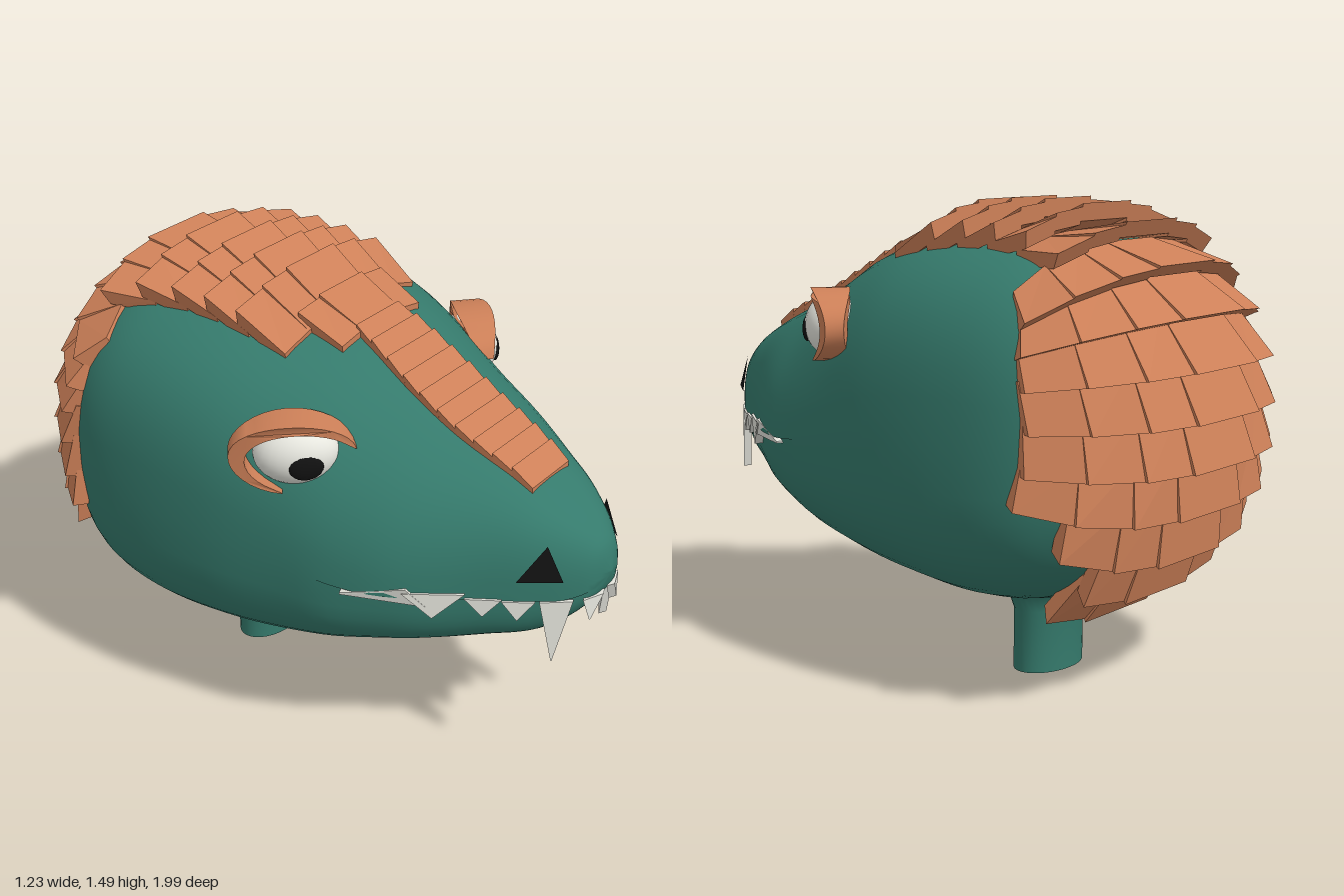
import * as THREE from 'three';
import { toCreasedNormals } from 'three/addons/utils/BufferGeometryUtils.js';

const mat = (color, extra = {}) => new THREE.MeshStandardMaterial({ color, ...extra });
const skin = mat(0x357a6c);
const horn = mat(0xcd8058, { flatShading: true });
const ivory = mat(0xe4e4dc, { flatShading: true });
const white = mat(0xe8e8e0);
const black = mat(0x111111, { side: THREE.DoubleSide });

// Head cross-sections: z, half width, top, bottom, height of widest point, roundness exponent
const SECTIONS = [
  [-0.91, 0, 0.86, 0.86, 0.86, 2.6], [-0.9, 0.16, 0.97, 0.76, 0.86, 2.6],
  [-0.87, 0.31, 1.1, 0.66, 0.85, 2.6], [-0.8, 0.44, 1.22, 0.5, 0.83, 2.6],
  [-0.7, 0.53, 1.32, 0.38, 0.8, 2.7], [-0.6, 0.58, 1.365, 0.315, 0.8, 2.8],
  [-0.4, 0.612, 1.385, 0.275, 0.8, 2.9], [-0.1, 0.6, 1.37, 0.297, 0.78, 2.8],
  [0.15, 0.55, 1.325, 0.34, 0.75, 2.3], [0.35, 0.505, 1.225, 0.4, 0.72, 2.05],
  [0.5, 0.447, 1.145, 0.44, 0.715, 2.1], [0.7, 0.305, 1.055, 0.5, 0.715, 2.4],
  [0.85, 0.2, 0.97, 0.56, 0.715, 2.8], [0.95, 0.112, 0.895, 0.66, 0.725, 2.6],
  [0.985, 0.058, 0.845, 0.72, 0.75, 2.3], [1, 0, 0.78, 0.78, 0.78, 2.2],
];
const spline = new THREE.CubicInterpolant(
  SECTIONS.map(s => s[0]), SECTIONS.flatMap(s => s.slice(1)), 5, new Array(5));
function section(z) {
  const [w, top, bottom, mid, n] = spline.evaluate(THREE.MathUtils.clamp(z, -0.91, 1));
  return { w: Math.max(w, 0), top, bottom, mid, n };
}
const LOWER = 3;

// Half width of the head at a given height and depth
function sideX(y, z) {
  const s = section(z), up = y > s.mid, n = up ? s.n : LOWER;
  const v = Math.min(1, Math.abs(y - s.mid) / Math.max(1e-4, up ? s.top - s.mid : s.mid - s.bottom));
  return s.w * (1 - v ** n) ** (1 / n);
}
function inside(p) {
  const s = section(p.z);
  return p.z > -0.91 && p.z < 1 && p.y < s.top && p.y > s.bottom && Math.abs(p.x) < sideX(p.y, p.z);
}

// Skin lofted through the sections, with the lower jaw set back under the lip
function headGeometry() {
  const pos = [], idx = [], rings = 64, half = 24, count = 2 * (half + 1);
  for (let k = 0; k <= rings; k++) {
    const z = 0.045 + 0.955 * Math.cos(Math.PI * k / rings), s = section(z);
    const tuck = 1 - 0.06 * THREE.MathUtils.smoothstep(z, 0.25, 0.5);
    for (let j = 0; j < count; j++) {
      const low = j > half, a = Math.PI * (low ? j - 1 : j) / half, n = low ? LOWER : s.n;
      const c = Math.cos(a), d = Math.abs(Math.sin(a)) ** (2 / n);
      pos.push(s.w * (low ? tuck : 1) * Math.sign(c) * Math.abs(c) ** (2 / n),
        low ? s.mid - d * (s.mid - s.bottom) : s.mid + d * (s.top - s.mid), z);
    }
  }
  for (let k = 0; k < rings; k++) for (let j = 0; j < count; j++) {
    const a = k * count + j, b = k * count + (j + 1) % count;
    idx.push(a, a + count, b, b, a + count, b + count);
  }
  const g = new THREE.BufferGeometry();
  g.setAttribute('position', new THREE.Float32BufferAttribute(pos, 3));
  g.setIndex(idx);
  return toCreasedNormals(g, 0.8);
}

// Six-sided plate between an outer and an inner quad, added to a list of positions
function plate(out, o, i) {
  const n = o[2].clone().sub(o[0]).cross(o[3].clone().sub(o[1]));
  const away = o[0].clone().add(o[1]).sub(i[0]).sub(i[1]);
  if (n.dot(away) < 0) { o = [...o].reverse(); i = [...i].reverse(); }
  const quad = (a, b, c, d) => [a, b, c, a, c, d].forEach(p => out.push(p.x, p.y, p.z));
  quad(...o);
  quad(i[3], i[2], i[1], i[0]);
  for (let k = 0; k < 4; k++) { const m = (k + 1) % 4; quad(o[m], o[k], i[k], i[m]); }
}
function plateMesh(pos, material, name) {
  const g = new THREE.BufferGeometry();
  g.setAttribute('position', new THREE.Float32BufferAttribute(pos, 3));
  g.computeVertexNormals();
  return named(new THREE.Mesh(g, material), name);
}
const named = (o, name) => { o.name = name; return o; };
const V = (x, y, z) => new THREE.Vector3(x, y, z);

// Cast from inside the head to the skin
function cast(origin, dir, lo, hi) {
  for (let k = 0; k < 26; k++) {
    const m = (lo + hi) / 2;
    if (inside(origin.clone().addScaledVector(dir, m))) lo = m; else hi = m;
  }
  return origin.clone().addScaledVector(dir, lo);
}
const rayDir = (deg) => V(0, Math.sin(deg * Math.PI / 180), -Math.cos(deg * Math.PI / 180));
// Point on the skin, sideways from a line across the spine, lifted off it
function onSkin(line, tan, lift) {
  const dir = rayDir(line.angle), origin = line.p.clone().addScaledVector(dir, -0.6);
  dir.x = tan;
  const hit = cast(origin, dir, 0.25, 0.75);
  dir.x = tan * 0.4;
  return hit.addScaledVector(dir.normalize(), lift);
}
// One row of overlapping scales between two lines; outer columns lie a little lower
function scaleRow(out, from, to, columns, base, lift, thick) {
  const edges = l => { const e = l.tans.slice(0, columns); return [...e.map(t => -t).reverse(), ...e]; };
  const e0 = edges(from), e1 = edges(to);
  for (let c = 0; c < e0.length - 1; c++) {
    const drop = 0.011 * Math.abs(c - columns + 1);
    const corners = (l0, l1) => [onSkin(from, e0[c], l0), onSkin(from, e0[c + 1], l0),
      onSkin(to, e1[c + 1], l1), onSkin(to, e1[c], l1)];
    plate(out, corners(base, lift - drop), corners(-0.03, lift - drop - thick));
  }
}
function scales() {
  const out = [];
  // Narrow strip up the snout
  const flat = (z, ...tans) => ({ p: V(0, section(z).top, z), angle: 90, tans });
  const half = z => (0.13 - 0.3 * Math.min(0.1, (z - 0.42) ** 2)) / 0.6;
  for (let k = 0; k < 10; k++) {
    const z = 0.77 - 0.064 * k;
    scaleRow(out, flat(z, half(z)), flat(z - 0.07, half(z - 0.07)), 1, 0.018, 0.032, 0.03);
  }
  scaleRow(out, flat(0.14, 0.16, 0.33), flat(-0.02, 0.17, 0.34), 2, 0.02, 0.06, 0.04);
  // Fan over the crown and down the back
  const line = deg => {
    const f = THREE.MathUtils.clamp((95 - deg) / 70, 0, 1) ** 2;
    const angle = Math.min(95, deg - 10 * Math.sin(deg * 4 * Math.PI / 180));
    const tans = [[0.18, 0.26], [0.36, 0.57], [0.58, 0.96], [0.8, 1.58]].map(([a, b]) => a + (b - a) * f);
    return { p: cast(V(0, 0.85, -0.3), rayDir(deg), 0, 1), angle, tans };
  };
  for (let k = 0; k < 14; k++) {
    const tip = 107 - 13 * k;
    const columns = k > 11 ? 2 : k === 11 || tip > 50 ? 3 : 4;
    scaleRow(out, line(tip + 16), line(tip - 1), columns, 0.015, tip > 50 ? 0.105 : 0.092, 0.055);
  }
  return plateMesh(out, horn, 'scales');
}

// Teeth along the lip: front z, back z, tip height, base height
function teeth() {
  const out = [];
  const row = [[0.994, 0.965, 0.64, 0.715], [0.945, 0.87, 0.5, 0.715], [0.86, 0.78, 0.65, 0.715],
    [0.78, 0.69, 0.66, 0.72], [0.69, 0.54, 0.65, 0.735]];
  for (const s of [1, -1]) {
    const at = (y, z, off) => V(s * (section(z).w + off), y, z + off * 0.5);
    for (const [z0, z1, tip, base] of row) {
      const zm = (z0 + z1) / 2;
      const q = off => [at(base, z0, off), at(base, z1, off), at(tip, zm - 0.001, off), at(tip, zm + 0.001, off)];
      plate(out, q(0.007), q(-0.018));
    }
    // Last tooth sweeps back to a point
    const q = off => [at(0.75, 0.55, off), at(0.708, 0.37, off), at(0.702, 0.37, off), at(0.69, 0.6, off)];
    plate(out, q(0.007), q(-0.018));
  }
  return plateMesh(out, ivory, 'teeth');
}

// Eye with a crescent lid over the top and outer side
function eye() {
  const g = new THREE.Group();
  const ball = named(new THREE.Mesh(new THREE.SphereGeometry(1, 28, 20), white), 'eyeball');
  ball.scale.set(0.13, 0.1, 0.09);
  ball.position.set(-0.012, -0.005, -0.01);
  const pupil = named(new THREE.Mesh(new THREE.SphereGeometry(1, 20, 12), black), 'pupil');
  pupil.scale.set(0.052, 0.04, 0.015);
  pupil.position.set(-0.038, -0.018, 0.07);
  pupil.rotation.y = -0.15;
  const outer = [], inner = [], N = 24;
  for (let k = 0; k <= N; k++) {
    const t = (-80 + 250 * k / N) * Math.PI / 180;
    const r = 0.98 - 0.26 * Math.sin(Math.PI * k / N) ** 0.6;
    outer.push(new THREE.Vector2(0.19 * Math.cos(t), 0.112 * Math.sin(t)));
    inner.push(new THREE.Vector2(0.19 * r * Math.cos(t), 0.112 * r * Math.sin(t)));
  }
  const geo = new THREE.ExtrudeGeometry(new THREE.Shape([...outer, ...inner.reverse()]), { depth: 0.12, bevelEnabled: false });
  geo.translate(0, 0, -0.06);
  const p = geo.attributes.position;
  for (let i = 0; i < p.count; i++) p.setZ(i, p.getZ(i) * (1 - 0.6 * (p.getX(i) / 0.2) ** 2));
  g.add(ball, pupil, named(new THREE.Mesh(toCreasedNormals(geo, 0.6), mat(0xcd8058)), 'eyelid'));
  g.position.set(0.462, 1.1, 0.165);
  g.rotation.y = 0.84;
  return named(g, 'eye');
}

// Dark triangular opening laid on the snout
function nostril() {
  const pts = [[0.9, 0.865], [0.79, 0.81], [0.79, 0.92]].flatMap(([y, z]) => [sideX(y, z) + 0.014, y, z + 0.008]);
  const g = new THREE.BufferGeometry();
  g.setAttribute('position', new THREE.Float32BufferAttribute(pts, 3));
  g.computeVertexNormals();
  return named(new THREE.Mesh(g, black), 'nostril');
}

export function createModel() {
  const model = named(new THREE.Group(), 'reptileHead');
  model.add(named(new THREE.Mesh(headGeometry(), skin), 'head'), scales(), teeth());

  // Oval neck flaring into the jaw
  const profile = [[0, 0], [0.14, 0], [0.14, 0.2], [0.165, 0.26], [0.22, 0.29], [0.28, 0.34]];
  const neck = new THREE.LatheGeometry(profile.map(([x, y]) => new THREE.Vector2(x, y)), 32);
  neck.scale(1, 1, 0.64).translate(0, 0, -0.34);
  model.add(named(new THREE.Mesh(toCreasedNormals(neck, 0.9), skin), 'neck'));

  for (const [side, name] of [[1, 'leftFace'], [-1, 'rightFace']]) {
    const face = named(new THREE.Group(), name);
    face.add(eye(), nostril());
    face.scale.x = side;
    model.add(face);
  }
  return model;
}
